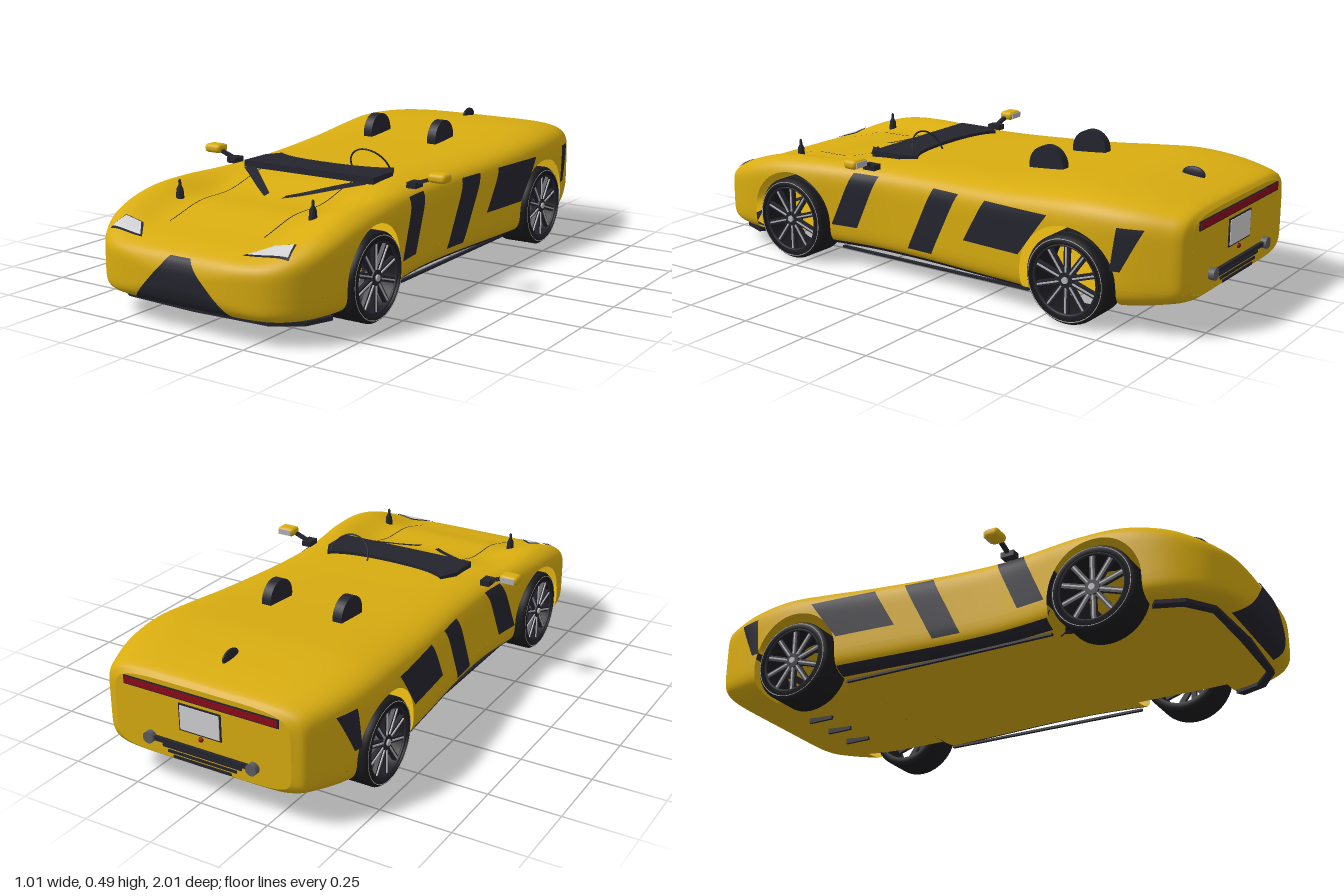
import * as THREE from 'three';
import { RoundedBoxGeometry } from 'three/addons/geometries/RoundedBoxGeometry.js';

const mat = (name, color) => new THREE.MeshStandardMaterial({ name, color, side: THREE.DoubleSide });

// body stations: z, half width, top, bottom, sink of the bonnet between the wings
const ST = [
  [-0.98, 0.33, 0.385, 0.12, 0], [-0.965, 0.365, 0.4, 0.108, 0], [-0.92, 0.39, 0.412, 0.095, 0],
  [-0.8, 0.43, 0.428, 0.075, 0], [-0.65, 0.45, 0.435, 0.062, 0], [-0.5, 0.445, 0.425, 0.06, 0],
  [-0.3, 0.43, 0.408, 0.06, 0], [0, 0.405, 0.395, 0.06, 0], [0.2, 0.402, 0.39, 0.06, 0],
  [0.33, 0.415, 0.39, 0.06, 0.012], [0.5, 0.44, 0.388, 0.06, 0.052], [0.66, 0.45, 0.375, 0.06, 0.046],
  [0.8, 0.435, 0.338, 0.062, 0.044], [0.9, 0.388, 0.295, 0.067, 0.02], [0.96, 0.32, 0.26, 0.08, 0.005],
  [0.985, 0.24, 0.235, 0.1, 0], [0.997, 0.14, 0.205, 0.13, 0], [1, 0.06, 0.18, 0.145, 0],
];
const ARCHES = [{ z: -0.6, r: 0.176 }, { z: 0.565, r: 0.17 }];
const AXLE = 0.15, N_UP = 5.5, N_LOW = 7;

// smooth lookup of one station column
function at(z, c) {
  let i = 0;
  while (i < ST.length - 2 && z > ST[i + 1][0]) i++;
  const slope = k => {
    const a = ST[Math.max(k - 1, 0)], b = ST[Math.min(k + 1, ST.length - 1)];
    return (b[c] - a[c]) / (b[0] - a[0]);
  };
  const p = ST[i], q = ST[i + 1], d = q[0] - p[0], t = (z - p[0]) / d, t2 = t * t, t3 = t2 * t;
  return (2 * t3 - 3 * t2 + 1) * p[c] + (t3 - 2 * t2 + t) * d * slope(i)
    + (3 * t2 - 2 * t3) * q[c] + (t3 - t2) * d * slope(i + 1);
}
function section(z) {
  const top = at(z, 2), low = at(z, 3);
  return { w: at(z, 1), mid: (top + low) / 2, h: (top - low) / 2 };
}
const sink = (x, z) => at(z, 4) * (1 - THREE.MathUtils.smoothstep(Math.abs(x), 0.22, 0.4));
const power = (v, e) => Math.sign(v) * Math.pow(Math.abs(v), e);

// point on the body at angle t of the rounded cross-section
function ringPoint(z, t) {
  const s = section(z), e = 2 / (Math.sin(t) > 0 ? N_UP : N_LOW);
  const x = s.w * power(Math.cos(t), e), y = s.mid + s.h * power(Math.sin(t), e);
  return [x, Math.sin(t) > 0 ? y - sink(x, z) : y, z];
}
function angleAt(z, y) {
  const s = section(z), v = THREE.MathUtils.clamp((y - s.mid) / s.h, -0.95, 0.95);
  return Math.asin(power(v, (v > 0 ? N_UP : N_LOW) / 2));
}
function topY(x, z) {
  const s = section(z), u = Math.min(Math.abs(x / s.w), 0.995);
  return s.mid + s.h * Math.pow(1 - u ** N_UP, 1 / N_UP) - sink(x, z);
}
function sideX(y, z) {
  const s = section(z), v = Math.min(Math.abs((y - s.mid) / s.h), 0.995), n = y > s.mid ? N_UP : N_LOW;
  return s.w * Math.pow(1 - v ** n, 1 / n);
}
function frontZ(x, y) {
  let a = 0.6, b = 1;
  for (let i = 0; i < 30; i++) {
    const z = (a + b) / 2, s = section(z), n = y > s.mid ? N_UP : N_LOW;
    const yy = y > s.mid ? y + sink(x, z) : y;
    if (Math.abs(x / s.w) ** n + Math.abs((yy - s.mid) / s.h) ** n < 1) a = z; else b = z;
  }
  return a;
}

// surface from a grid of points f(i, j)
function grid(nu, nv, f) {
  const pos = [], idx = [];
  for (let i = 0; i <= nu; i++) for (let j = 0; j <= nv; j++) pos.push(...f(i, j));
  for (let i = 0; i < nu; i++) for (let j = 0; j < nv; j++) {
    const a = i * (nv + 1) + j, b = a + nv + 1;
    idx.push(a, a + 1, b, b, a + 1, b + 1);
  }
  const g = new THREE.BufferGeometry();
  g.setAttribute('position', new THREE.Float32BufferAttribute(pos, 3));
  g.setIndex(idx);
  g.computeVertexNormals();
  return g;
}
// four-cornered plate laid on the body through a mapping of two coordinates
function patch([a, b, c, d], map, n = 14) {
  const mix = THREE.MathUtils.lerp;
  return grid(n, n, (i, j) => {
    const u = i / n, v = j / n;
    return map(mix(mix(a[0], b[0], u), mix(d[0], c[0], u), v), mix(mix(a[1], b[1], u), mix(d[1], c[1], u), v));
  });
}

export function createModel() {
  const car = new THREE.Group();
  car.name = 'car';
  const yellow = mat('yellow paint', 0xd8ac10), dark = mat('dark trim', 0x24242e), rubber = mat('tyre rubber', 0x1b1b1e);
  const silver = mat('silver', 0xb4b4b8), lamp = mat('pale lamp', 0xd2d2d4), red = mat('red lamp', 0x8c0c1a);
  const steel = mat('grey steel', 0x5c5c62);
  const add = (name, geo, m, x = 0, y = 0, z = 0, parent = car) => {
    const mesh = new THREE.Mesh(geo, m);
    mesh.name = name;
    mesh.position.set(x, y, z);
    parent.add(mesh);
    return mesh;
  };
  const box = (name, w, h, d, m, x, y, z, parent) => add(name, new THREE.BoxGeometry(w, h, d), m, x, y, z, parent);

  // upper body, its edge rising over the wheel arches
  const zs = [];
  for (let i = 0; i <= 100; i++) zs.push(0.01 - 0.99 * Math.cos(Math.PI * i / 100));
  for (const a of ARCHES) for (let i = 0; i <= 32; i++) zs.push(a.z - a.r * Math.cos(Math.PI * i / 32));
  zs.sort((a, b) => a - b);
  const edgeY = z => {
    const a = ARCHES.find(k => Math.abs(z - k.z) < k.r);
    return AXLE + (a ? Math.sqrt(a.r ** 2 - (z - a.z) ** 2) : 0);
  };
  add('upperBody', grid(zs.length - 1, 64, (i, j) => {
    const t = angleAt(zs[i], edgeY(zs[i]));
    return ringPoint(zs[i], t + (Math.PI - 2 * t) * j / 64);
  }), yellow);

  // lower body between the arches, with floor strips between the wheels
  const [R, F] = ARCHES;
  for (const [z0, z1] of [[-0.98, R.z - R.r], [R.z + R.r, F.z - F.r], [F.z + F.r, 1]]) {
    add('lowerBody', grid(24, 48, (i, j) => {
      const z = z0 + (z1 - z0) * Math.sin(i / 24 * Math.PI / 2), t = angleAt(z, AXLE);
      return ringPoint(z, t - (Math.PI + 2 * t) * j / 48);
    }), yellow);
  }
  for (const a of ARCHES) add('floor', patch([[-0.3, a.z - a.r], [0.3, a.z - a.r], [0.3, a.z + a.r], [-0.3, a.z + a.r]],
    (x, z) => [x, at(z, 3), z]), yellow);
  for (const z of [-0.98, 1]) {
    const pts = Array.from({ length: 96 }, (_, i) => new THREE.Vector2(...ringPoint(z, i / 48 * Math.PI)));
    add(z < 0 ? 'tailPanel' : 'noseTip', new THREE.ShapeGeometry(new THREE.Shape(pts)), yellow, 0, 0, z);
  }

  // nose wedge and chin lip
  const onFront = (x, y) => [x, y, frontZ(x, y) + 0.005];
  add('noseWedge', patch([[-0.205, 0.072], [0.205, 0.072], [0.062, 0.218], [-0.062, 0.218]], onFront, 20), dark);
  add('noseWedgeTop', patch([[-0.062, 0.218], [0.062, 0.218], [0.04, 0.245], [-0.04, 0.245]], onFront, 10), dark);
  const outline = [[0.41, 0.76], [0.375, 0.85], [0.28, 0.915], [0, 0.93]];
  const lip = new THREE.Shape([
    ...outline, ...outline.slice(0, 3).reverse().map(([x, z]) => [-x, z]),
    ...outline.slice(0, 3).map(([x, z]) => [-x * 0.93, z - 0.02]), [0, 0.9],
    ...outline.slice(0, 3).reverse().map(([x, z]) => [x * 0.93, z - 0.02]),
  ].map(p => new THREE.Vector2(...p)));
  add('chinLip', new THREE.ExtrudeGeometry(lip, { depth: 0.014, bevelEnabled: false }), dark, 0, 0.07).rotation.x = Math.PI / 2;

  // cowl panel with a curved rear edge
  const cowl = new THREE.Shape();
  cowl.moveTo(-0.27, 0.32);
  cowl.lineTo(0.27, 0.32);
  cowl.lineTo(0.27, 0.2);
  cowl.lineTo(0.238, 0.14);
  cowl.quadraticCurveTo(0.18, 0.19, 0, 0.19);
  cowl.quadraticCurveTo(-0.18, 0.19, -0.238, 0.14);
  cowl.lineTo(-0.27, 0.2);
  add('cowl', new THREE.ExtrudeGeometry(cowl, { depth: 0.034, bevelEnabled: false }), dark, 0, 0.402).rotation.x = Math.PI / 2;

  const wheel = add('steeringWheel', new THREE.TorusGeometry(0.08, 0.003, 8, 40), dark, 0.155, 0.395, 0.157);
  wheel.rotation.x = 0.49;

  for (const s of [1, -1]) {
    const onTop = lift => (x, z) => [s * x, topY(x, z) + lift, z];
    const onSide = (z, y) => [s * (sideX(y, z) + 0.004), y, z];

    // bonnet details
    add('bonnetStrip', patch([[0.255, 0.34], [0.225, 0.315], [0.035, 0.485], [0.035, 0.515]], onTop(0.006)), dark);
    add('bonnetSeam', patch([[0.188, 0.32], [0.192, 0.32], [0.192, 0.81], [0.188, 0.81]], onTop(0.004), 20), dark);
    add('headlightRim', patch([[0.2, 0.932], [0.355, 0.91], [0.341, 0.849], [0.263, 0.853]], onTop(0.003)), dark);
    add('headlight', patch([[0.212, 0.926], [0.349, 0.905], [0.336, 0.855], [0.268, 0.859]], onTop(0.006)), lamp);
    const spike = [[0.015, 0], [0.012, 0.04], [0.005, 0.055], [0.005, 0.07], [0, 0.076]].map(p => new THREE.Vector2(...p));
    add('bonnetSpike', new THREE.LatheGeometry(spike, 12), dark, s * 0.27, 0.322, 0.665);

    // slanted side panels and sill strip
    for (const [zt0, zt1, yt, zb0, zb1, yb] of [
      [0.3, 0.195, 0.35, 0.385, 0.28, 0.155], [-0.05, -0.16, 0.35, 0.06, -0.045, 0.12],
      [-0.275, -0.53, 0.35, -0.19, -0.42, 0.2], [-0.775, -0.86, 0.35, -0.757, -0.79, 0.21],
    ]) add('sidePanel', patch([[zt0, yt], [zt1, yt], [zb1, yb], [zb0, yb]], onSide), dark);
    add('sillStrip', patch([[0.39, 0.094], [-0.42, 0.094], [-0.42, 0.07], [0.39, 0.07]], onSide, 24), dark);
    box('underSill', 0.012, 0.008, 0.8, dark, s * 0.365, 0.057, -0.015);

    // door mirrors
    box('mirrorBase', 0.035, 0.02, 0.05, dark, s * 0.378, 0.378, 0.235);
    const arm = box('mirrorArm', 0.085, 0.012, 0.014, dark, s * 0.41, 0.392, 0.235);
    arm.rotation.z = s * 0.35;
    add('mirrorShell', new RoundedBoxGeometry(0.07, 0.032, 0.055, 4, 0.014), yellow, s * 0.47, 0.41, 0.23);
    box('mirrorGlass', 0.052, 0.02, 0.004, silver, s * 0.47, 0.41, 0.202);

    // headrests and exhaust pipes
    const rest = add('headrest', new THREE.CylinderGeometry(0.067, 0.067, 0.035, 32), dark, s * 0.14, 0.421, -0.342);
    rest.rotation.z = Math.PI / 2;
    const pipe = add('exhaustPipe', new THREE.CylinderGeometry(0.02, 0.02, 0.06, 20), steel, s * 0.195, 0.177, -0.97);
    pipe.rotation.x = Math.PI / 2;

    // wheels
    for (const a of ARCHES) {
      const g = new THREE.Group();
      g.name = 'wheel';
      g.position.set(s * 0.378, 0.148, a.z);
      g.rotation.z = -s * Math.PI / 2;
      car.add(g);
      const tyre = [[0.118, -0.07], [0.138, -0.072], [0.148, -0.058]];
      for (const y of [-0.03, 0, 0.03]) tyre.push([0.148, y - 0.005], [0.142, y - 0.004], [0.142, y + 0.004], [0.148, y + 0.005]);
      tyre.push([0.148, 0.058], [0.138, 0.072], [0.118, 0.07], [0.118, -0.07]);
      add('tyre', new THREE.LatheGeometry(tyre.map(p => new THREE.Vector2(...p)), 48), rubber, 0, 0, 0, g);
      const ring = (name, r, t, m, y) => { add(name, new THREE.TorusGeometry(r, t, 6, 48), m, 0, y, 0, g).rotation.x = Math.PI / 2; };
      ring('sidewallLine', 0.136, 0.0015, silver, 0.0715);
      ring('rimLip', 0.116, 0.005, dark, 0.066);
      add('hub', new THREE.CylinderGeometry(0.026, 0.03, 0.03, 20), dark, 0, 0.05, 0, g);
      add('hubCap', new THREE.CylinderGeometry(0.011, 0.011, 0.008, 16), silver, 0, 0.067, 0, g);
      for (let k = 0; k < 10; k++) {
        const arm = new THREE.Group();
        arm.name = 'spoke';
        arm.rotation.y = k * Math.PI / 5;
        g.add(arm);
        box('spokeArm', 0.096, 0.014, 0.019, dark, 0.068, 0.053, 0, arm);
        box('spokeFace', 0.088, 0.004, 0.005, silver, 0.068, 0.062, 0, arm);
      }
    }
  }

  // tail: light bar, number plate, lower lamp, exhaust bar and vents
  box('tailLightFrame', 0.58, 0.03, 0.006, dark, 0, 0.353, -0.981);
  box('tailLight', 0.57, 0.022, 0.008, red, 0, 0.353, -0.982);
  box('plateFrame', 0.158, 0.094, 0.006, dark, 0, 0.278, -0.981);
  box('plate', 0.148, 0.084, 0.008, lamp, 0, 0.278, -0.982);
  add('fogLamp', new THREE.SphereGeometry(0.009, 12, 8), red, 0, 0.217, -0.98);
  box('exhaustBar', 0.39, 0.014, 0.014, dark, 0, 0.177, -0.985);
  [0.3, 0.26, 0.22].forEach((w, i) => box('tailVent', w, 0.009, 0.006, dark, 0, 0.157 - i * 0.015, -0.981));
  for (const x of [-0.12, 0, 0.12]) box('floorFin', 0.01, 0.025, 0.1, dark, x, 0.062, -0.7);

  // roof antenna on the rear deck
  add('antennaFin', new THREE.SphereGeometry(1, 16, 12), dark, 0, 0.43, -0.812).scale.set(0.01, 0.026, 0.042);
  return car;
}
